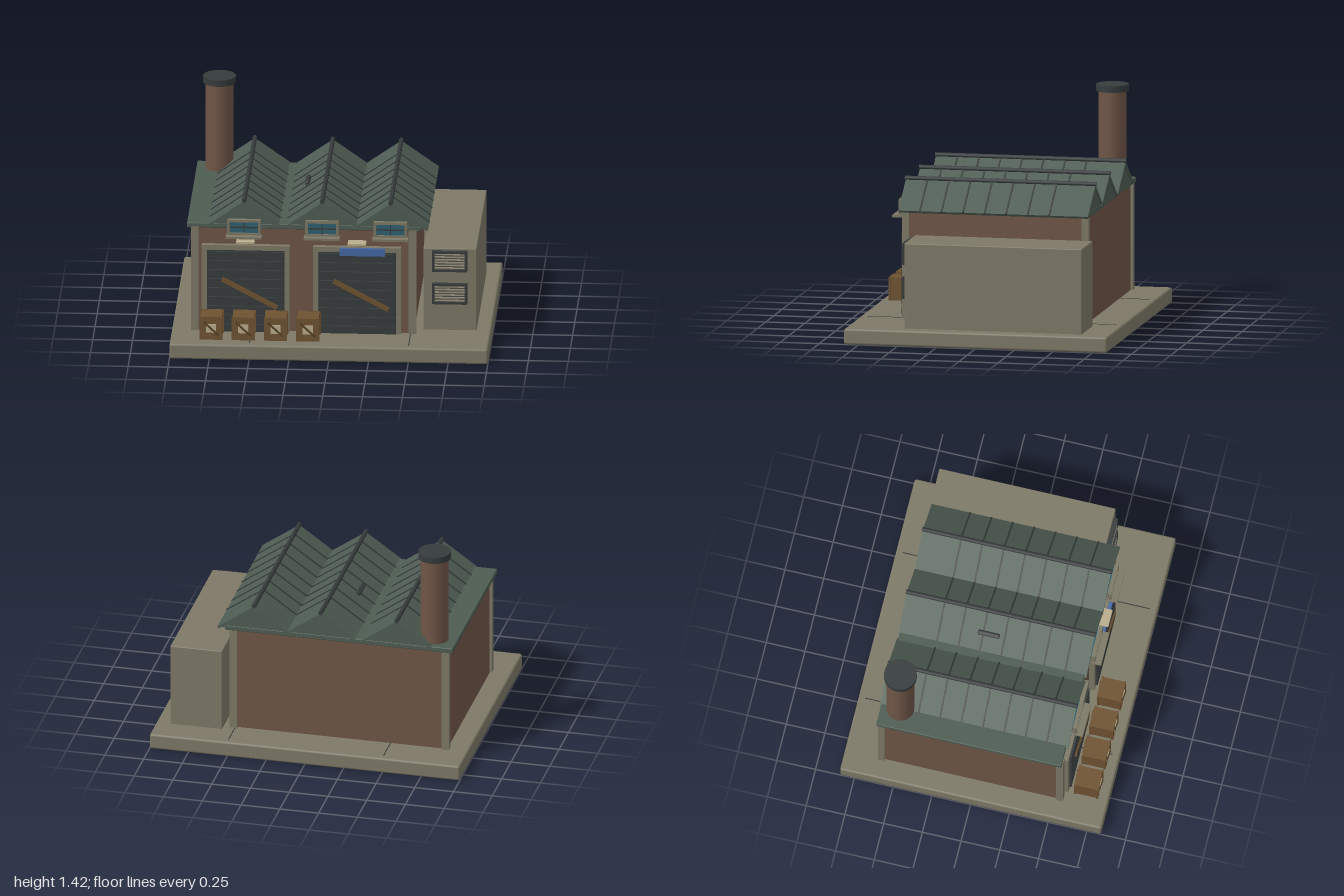
import * as THREE from 'three';
import { RoundedBoxGeometry } from 'three/addons/geometries/RoundedBoxGeometry.js';

const mat = (color) => new THREE.MeshStandardMaterial({ color });
const M = {
  concrete: mat(0x7d7866), brick: mat(0x6e5546), roof: mat(0x4d5c52), dark: mat(0x363b3b),
  wood: mat(0x6e5231), woodDark: mat(0x574026), glass: mat(0x2f6070), blue: mat(0x4468a3), pale: mat(0xb8ad8c),
};

function add(parent, name, geometry, material, x = 0, y = 0, z = 0) {
  const m = new THREE.Mesh(geometry, material);
  m.name = name;
  m.position.set(x, y, z);
  parent.add(m);
  return m;
}

// Box given by its extents; a radius rounds the edges
function box(parent, name, material, [x0, x1], [y0, y1], [z0, z1], radius = 0) {
  const s = [x1 - x0, y1 - y0, z1 - z0];
  const g = radius ? new RoundedBoxGeometry(...s, 2, radius) : new THREE.BoxGeometry(...s);
  return add(parent, name, g, material, (x0 + x1) / 2, (y0 + y1) / 2, (z0 + z1) / 2);
}

function group(parent, name, x = 0, y = 0, z = 0) {
  const g = new THREE.Group();
  g.name = name;
  g.position.set(x, y, z);
  parent.add(g);
  return g;
}

// Rectangular frame standing in the xy plane, open in the middle
function frame(parent, name, material, w, h, t, depth) {
  const s = new THREE.Shape([[-w, -h], [w, -h], [w, h], [-w, h]].map(([x, y]) => new THREE.Vector2(x / 2, y / 2)));
  const a = w / 2 - t, b = h / 2 - t;
  s.holes.push(new THREE.Path([[-a, -b], [-a, b], [a, b], [a, -b]].map(([x, y]) => new THREE.Vector2(x, y))));
  return add(parent, name, new THREE.ExtrudeGeometry(s, { depth, bevelEnabled: false }), material);
}

const HALF = 0.235, BASE = 0.795, RISE = 0.165;

// One gabled bay: solid prism, covering sheets, seams and ridge pole
function gable(parent, x) {
  const g = group(parent, 'roofBay', x, BASE, 0);
  const tri = new THREE.Shape([new THREE.Vector2(-HALF + 0.015, 0), new THREE.Vector2(HALF - 0.015, 0),
    new THREE.Vector2(0, RISE - 0.01)]);
  add(g, 'gableBody', new THREE.ExtrudeGeometry(tri, { depth: 1.19, bevelEnabled: false }), M.roof, 0, 0, -0.63);
  const angle = Math.atan2(RISE, HALF), len = Math.hypot(RISE, HALF);
  for (const side of [-1, 1]) {
    const slope = group(g, 'roofSlope', side * HALF / 2, RISE / 2, 0);
    slope.rotation.z = -side * angle;
    box(slope, 'roofSheet', M.roof, [-len / 2, len / 2], [-0.012, 0.003], [-0.64, 0.575]);
    for (let i = 0; i < 7; i++) {
      const z = -0.392 + i * 0.138;
      box(slope, 'roofSeam', M.dark, [-len / 2 + 0.005, len / 2], [0, 0.008], [z - 0.005, z + 0.005]);
    }
  }
  add(g, 'ridgePole', new THREE.CylinderGeometry(0.014, 0.014, 1.225, 10).rotateX(Math.PI / 2), M.dark, 0, RISE + 0.008, -0.032);
}

function gableWindow(parent, x) {
  const g = group(parent, 'window', x, 0.795, 0.575);
  frame(g, 'windowFrame', M.concrete, 0.21, 0.104, 0.016, 0.025);
  box(g, 'windowGlass', M.glass, [-0.092, 0.092], [-0.04, 0.04], [-0.015, 0.014]);
  box(g, 'windowBarUpright', M.dark, [-0.004, 0.004], [-0.038, 0.038], [0.012, 0.02]);
  box(g, 'windowBarCross', M.dark, [-0.09, 0.09], [-0.004, 0.004], [0.012, 0.02]);
  box(g, 'windowSill', M.concrete, [-0.112, 0.112], [-0.062, -0.048], [0.005, 0.066]);
}

// Roller door in a concrete surround, barred by a plank
function rollerDoor(parent, x) {
  const g = group(parent, 'rollerDoor', x, 0.1, 0);
  for (const s of [-1, 1]) box(g, 'doorJamb', M.concrete, [s * 0.26 - 0.016, s * 0.26 + 0.016], [0, 0.57], [0.545, 0.585]);
  box(g, 'doorLintel', M.concrete, [-0.276, 0.276], [0.54, 0.572], [0.545, 0.585]);
  box(g, 'doorPanel', M.dark, [-0.244, 0.244], [0, 0.54], [0.54, 0.583]);
  for (let i = 0; i < 9; i++) {
    box(g, 'doorSlat', M.dark, [-0.24, 0.24], [i * 0.06 + 0.006, i * 0.06 + 0.052], [0.575, 0.597]);
  }
  const plank = add(g, 'plank', new THREE.BoxGeometry(0.39, 0.03, 0.012), M.wood, 0.025, 0.262, 0.603);
  plank.rotation.z = -0.49;
}

function crate(parent, x) {
  const g = group(parent, 'crate', x, 0.185, 0.7);
  box(g, 'crateBody', M.wood, [-0.068, 0.068], [-0.073, 0.073], [-0.07, 0.07]);
  for (const s of [-1, 1]) {
    const face = group(g, 'crateFace', 0, 0, 0);
    face.rotation.y = s > 0 ? 0 : Math.PI;
    frame(face, 'crateFrame', M.wood, 0.146, 0.15, 0.024, 0.012).position.z = 0.065;
    box(face, 'crateLabel', M.pale, [-0.032, 0.032], [-0.028, 0.028], [0.069, 0.079]);
    const brace = add(face, 'crateBrace', new THREE.BoxGeometry(0.13, 0.012, 0.008), M.woodDark, 0, 0, 0.08);
    brace.rotation.z = -0.75;
  }
}

function louvre(parent, y) {
  const g = group(parent, 'louvreVent', 0.741, y, 0.47);
  box(g, 'ventBox', M.dark, [-0.096, 0.096], [-0.055, 0.055], [0, 0.018]);
  frame(g, 'ventFrame', M.dark, 0.22, 0.134, 0.014, 0.035);
  for (let i = 0; i < 6; i++) {
    const blade = add(g, 'ventBlade', new THREE.BoxGeometry(0.19, 0.006, 0.018), M.concrete, 0, -0.045 + i * 0.018, 0.022);
    blade.rotation.x = 0.4;
  }
}

export function createModel() {
  const root = new THREE.Group();
  root.name = 'workshop';

  // Ground slab with joints
  box(root, 'baseSlab', M.concrete, [-1, 1], [0, 0.1], [-0.843, 0.843], 0.014);
  for (const x of [-0.5, 0.5]) box(root, 'slabJoint', M.dark, [x - 0.003, x + 0.003], [0.098, 0.102], [-0.8, 0.795]);

  // Brick hall with corner posts
  box(root, 'brickWalls', M.brick, [-0.865, 0.52], [0.1, 0.79], [-0.61, 0.55]);
  for (const x of [-0.855, 0.512]) {
    for (const z of [-0.605, 0.545]) box(root, 'cornerPost', M.concrete, [x - 0.024, x + 0.024], [0.1, 0.785], [z - 0.022, z + 0.022]);
  }

  // Roof
  box(root, 'eaves', M.roof, [-0.905, 0.565], [0.777, 0.81], [-0.632, 0.562], 0.006);
  const bays = [-0.545, -0.055, 0.375];
  for (const x of bays) {
    gable(root, x);
    gableWindow(root, x);
  }
  const hatch = add(root, 'roofVent', new RoundedBoxGeometry(0.03, 0.025, 0.14, 2, 0.008), M.dark, -0.18, 0.885, -0.08);
  hatch.rotation.z = Math.atan2(RISE, HALF);

  // Chimney
  add(root, 'chimney', new THREE.CylinderGeometry(0.088, 0.088, 0.6, 32), M.brick, -0.76, 1.09, -0.51);
  add(root, 'chimneyCap', new THREE.CylinderGeometry(0.103, 0.103, 0.042, 32), M.dark, -0.76, 1.399, -0.51);

  // Doors, lamps and hanging banner
  for (const x of [-0.535, 0.165]) {
    rollerDoor(root, x);
    box(root, 'doorLamp', M.pale, [x - 0.058, x + 0.058], [0.693, 0.711], [0.55, 0.622], 0.004);
  }
  box(root, 'banner', M.blue, [0.055, 0.34], [0.622, 0.67], [0.585, 0.606]);

  // Side annex
  box(root, 'annex', M.concrete, [0.575, 0.91], [0.095, 0.64], [-0.663, 0.475], 0.006);
  for (const y of [0.56, 0.345]) louvre(root, y);

  // Crates
  for (const x of [-0.742, -0.54, -0.337, -0.134]) crate(root, x);
  return root;
}
